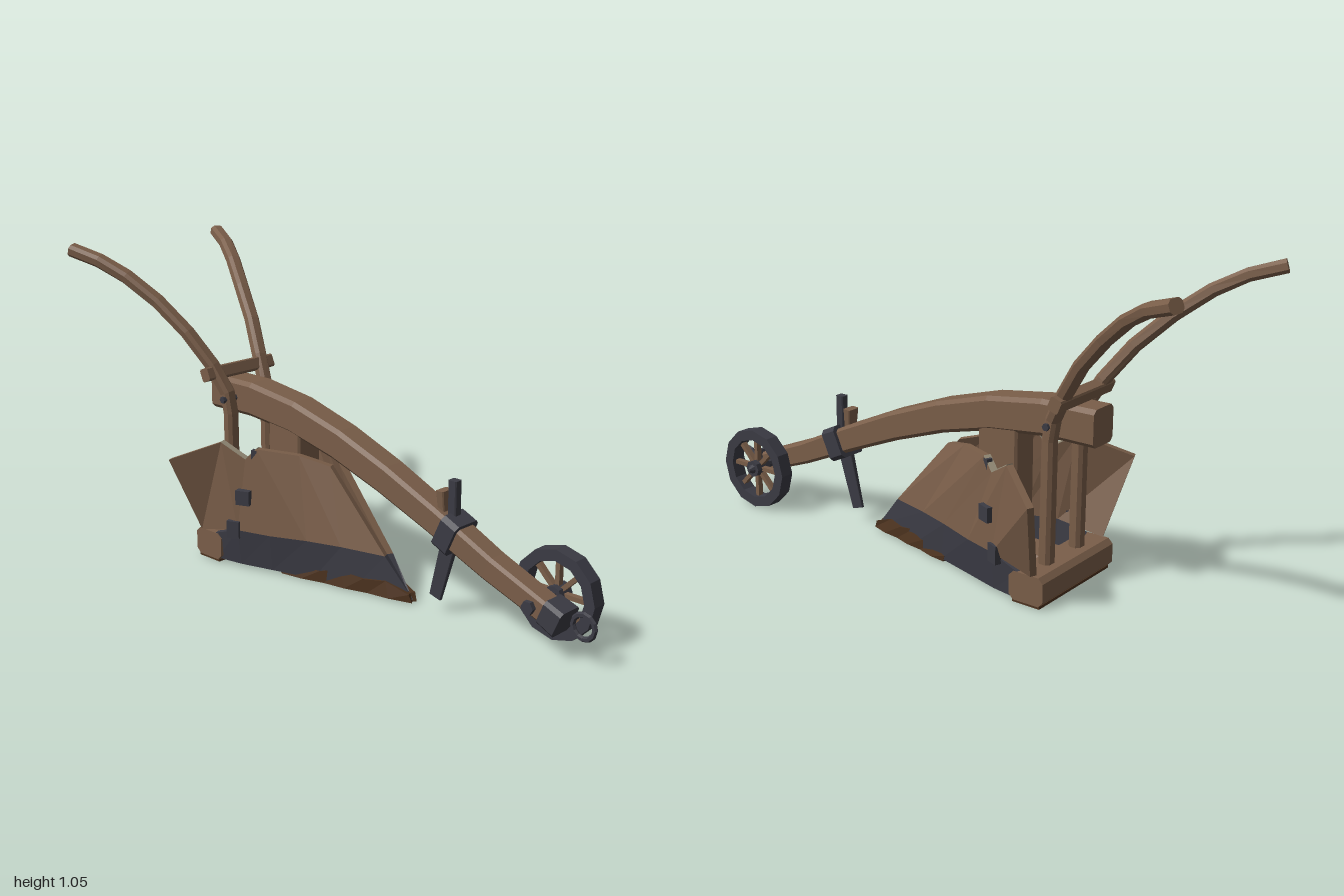
import * as THREE from 'three';

const wood = new THREE.MeshStandardMaterial({ color: 0x7a5e49 });
wood.name = 'oak wood';
const iron = new THREE.MeshStandardMaterial({ color: 0x3b3b44 });
iron.name = 'dark iron';
const soil = new THREE.MeshStandardMaterial({ color: 0x4d331f });
soil.name = 'dark soil';
const pale = new THREE.MeshStandardMaterial({ color: 0x9a917c });
pale.name = 'broken wood';

const V = (p) => new THREE.Vector3(...p);

// Faceted mesh: every face keeps its own normal
function add(parent, name, geometry, material, pos = [0, 0, 0], rot = [0, 0, 0]) {
  const g = geometry.index ? geometry.toNonIndexed() : geometry;
  g.computeVertexNormals();
  const mesh = new THREE.Mesh(g, material);
  mesh.name = name;
  mesh.position.set(...pos);
  mesh.rotation.set(...rot);
  parent.add(mesh);
  return mesh;
}

function fromTriangles(list) {
  const g = new THREE.BufferGeometry();
  g.setAttribute('position', new THREE.Float32BufferAttribute(list.flatMap((p) => p.toArray()), 3));
  return g;
}

// Chamfered rectangular bar swept along a path; each point is [x, y, z, width, height]
function bar(path, chamfer = 0.25) {
  const pts = path.map(V);
  const rings = pts.map((p, i) => {
    const t = pts[Math.min(i + 1, pts.length - 1)].clone().sub(pts[Math.max(i - 1, 0)]).normalize();
    const s = Math.abs(t.x) > 0.9 ? new THREE.Vector3(0, 0, 1) : new THREE.Vector3(1, 0, 0);
    s.addScaledVector(t, -s.dot(t)).normalize();
    const n = t.clone().cross(s);
    const a = path[i][3] / 2, b = path[i][4] / 2, c = Math.min(a, b) * chamfer;
    return [[a, -b + c], [a, b - c], [a - c, b], [-a + c, b], [-a, b - c], [-a, -b + c], [-a + c, -b], [a - c, -b]]
      .map(([u, v]) => p.clone().addScaledVector(s, u).addScaledVector(n, v));
  });
  const tris = [];
  const last = rings[rings.length - 1];
  for (let i = 0; i < rings.length - 1; i++) {
    for (let j = 0; j < 8; j++) {
      const k = (j + 1) % 8, A = rings[i], B = rings[i + 1];
      tris.push(A[j], A[k], B[k], A[j], B[k], B[j]);
    }
  }
  for (let j = 1; j < 7; j++) {
    tris.push(rings[0][0], rings[0][j + 1], rings[0][j], last[0], last[j], last[j + 1]);
  }
  return fromTriangles(tris);
}

// Bent plate between a lower and an upper edge, for the left (+1) or right (-1) side
function plate(lower, upper, side, thickness) {
  const place = (row) => {
    const r = row.map(([x, y, z]) => V([x * side, y, z]));
    return side < 0 ? r.reverse() : r;
  };
  const inward = (row) => row.map((p) => V([side * Math.max(Math.abs(p.x) - thickness, -0.004), p.y, p.z - thickness * 0.4]));
  const a = place(lower), b = place(upper), c = inward(a), d = inward(b);
  const tris = [];
  const quad = (p, q, r, s) => tris.push(p, q, r, p, r, s);
  const n = a.length - 1;
  for (let i = 0; i < n; i++) {
    quad(a[i], a[i + 1], b[i + 1], b[i]);
    quad(c[i + 1], c[i], d[i], d[i + 1]);
    quad(b[i], b[i + 1], d[i + 1], d[i]);
    quad(c[i], c[i + 1], a[i + 1], a[i]);
  }
  quad(c[0], a[0], b[0], d[0]);
  quad(a[n], c[n], d[n], b[n]);
  return fromTriangles(tris);
}

export function createModel() {
  const plough = new THREE.Group();
  plough.name = 'plough';

  // Arched draught beam
  add(plough, 'beam', bar([
    [0, 0.115, 0.88, 0.075, 0.07], [0, 0.215, 0.62, 0.08, 0.08], [0, 0.315, 0.4, 0.088, 0.09],
    [0, 0.4, 0.2, 0.095, 0.098], [0, 0.472, 0, 0.1, 0.105], [0, 0.525, -0.2, 0.107, 0.112],
    [0, 0.55, -0.4, 0.11, 0.118], [0, 0.55, -0.59, 0.11, 0.12]]), wood);

  // Hitch cap and ring at the nose
  add(plough, 'noseCap', bar([[0, 0.14, 0.825, 0.09, 0.085], [0, 0.115, 0.885, 0.095, 0.09]]), iron);
  add(plough, 'hitchRing', new THREE.TorusGeometry(0.038, 0.009, 6, 12), iron, [0, 0.12, 0.948], [0, Math.PI / 2, 0]);

  // Depth wheel on a stub axle
  const wheel = new THREE.Group();
  wheel.name = 'depthWheel';
  wheel.position.set(0.105, 0.145, 0.785);
  wheel.rotation.z = -Math.PI / 2;
  plough.add(wheel);
  const rim = [[0.108, -0.025], [0.145, -0.025], [0.145, 0.025], [0.108, 0.025], [0.108, -0.025]];
  add(wheel, 'rim', new THREE.LatheGeometry(rim.map(([r, y]) => new THREE.Vector2(r, y)), 12), iron);
  add(wheel, 'hub', new THREE.CylinderGeometry(0.03, 0.03, 0.06, 8), iron);
  add(wheel, 'hubCap', new THREE.CylinderGeometry(0.007, 0.018, 0.02, 8), iron, [0, 0.038, 0]);
  for (let i = 0; i < 8; i++) {
    const a = (i * Math.PI) / 4;
    add(wheel, 'spoke', new THREE.BoxGeometry(0.09, 0.02, 0.015), wood,
      [Math.cos(a) * 0.068, 0, -Math.sin(a) * 0.068], [0, a, 0]);
  }
  add(plough, 'axle', new THREE.CylinderGeometry(0.015, 0.015, 0.17, 8), iron, [0.035, 0.145, 0.785], [0, 0, Math.PI / 2]);
  add(plough, 'axleNut', new THREE.CylinderGeometry(0.022, 0.022, 0.018, 6), iron, [-0.045, 0.145, 0.785], [0, 0, Math.PI / 2]);

  // Coulter knife, its clamp and wedge
  add(plough, 'coulterShank', bar([[0, 0.26, 0.465, 0.03, 0.032], [0, 0.45, 0.465, 0.03, 0.032]]), iron);
  add(plough, 'coulterBlade', bar([[0, 0.3, 0.465, 0.022, 0.06], [0, 0.05, 0.398, 0.012, 0.045]]), iron);
  add(plough, 'coulterClamp', bar([[0, 0.27, 0.495, 0.112, 0.115], [0, 0.295, 0.44, 0.112, 0.115]]), iron);
  add(plough, 'coulterWedge', bar([[0, 0.28, 0.43, 0.03, 0.022], [0, 0.41, 0.424, 0.05, 0.03]]), wood);

  // Standard under the beam, sole and heel block
  add(plough, 'standard', bar([[0, 0.06, -0.235, 0.1, 0.15], [0, 0.5, -0.235, 0.1, 0.15]], 0.15), wood);
  add(plough, 'sole', bar([[0, 0.06, -0.14, 0.13, 0.08], [0, 0.06, -0.42, 0.13, 0.08]]), wood);
  add(plough, 'heel', bar([[-0.2, 0.055, -0.457, 0.125, 0.095], [0.2, 0.055, -0.457, 0.125, 0.095]], 0.35), wood);
  add(plough, 'heelSoil', new THREE.BoxGeometry(0.396, 0.009, 0.1), soil, [0, 0.0045, -0.457]);

  // Edges shared by share and mouldboard, from nose to tail
  const bottom = [[0, 0.01, 0.305], [0.06, 0.01, 0.1], [0.097, 0.01, -0.05], [0.14, 0.01, -0.2], [0.175, 0.01, -0.32], [0.192, 0.01, -0.42]];
  const seam = [[0.02, 0.135, 0.2], [0.068, 0.14, 0.05], [0.108, 0.14, -0.07], [0.152, 0.135, -0.2], [0.188, 0.135, -0.32], [0.21, 0.105, -0.48]];
  const shareTop = [...seam.slice(0, 5), [0.2, 0.1, -0.43]];
  const top = [[0.035, 0.39, -0.03], [0.08, 0.415, -0.13], [0.15, 0.425, -0.26], [0.165, 0.385, -0.3], [0.2, 0.435, -0.38], [0.305, 0.365, -0.53]];
  const notch = top.slice(2, 5);

  for (const side of [1, -1]) {
    add(plough, 'share', plate(bottom, shareTop, side, 0.022), iron);
    add(plough, 'mouldboard', plate(seam, top, side, 0.022), wood);
    add(plough, 'notchEdge', plate(notch, notch.map(([x, y, z]) => [x, y + 0.003, z]), side, 0.022), pale);

    // Iron straps fixing the boards
    const yaw = side * -0.38;
    add(plough, 'upperStrap', new THREE.BoxGeometry(0.035, 0.05, 0.05), iron, [side * 0.177, 0.257, -0.295], [0, yaw, 0]);
    add(plough, 'lowerStrap', new THREE.BoxGeometry(0.03, 0.06, 0.045), iron, [side * 0.188, 0.137, -0.335], [0, yaw, 0]);
    add(plough, 'topBolt', new THREE.BoxGeometry(0.02, 0.04, 0.02), iron, [side * 0.145, 0.4, -0.272], [0, yaw, 0]);

    // Soil caked around the share point
    const reach = side > 0 ? 1 : 1.3;
    const crust = [0.03, 0.055, 0.048, 0.06, 0.042, 0.046, 0.026];
    const along = crust.map((h, i) => {
      const k = (i / 6) * reach;
      return { x: 0.012 + 0.088 * k, z: 0.31 - 0.37 * k, h };
    });
    add(plough, 'cakedSoil', plate(
      along.map(({ x, z }, i) => [x + (i % 2) * 0.006, 0.003, z]),
      along.map(({ x, z, h }, i) => [x + 0.004 - (i % 2) * 0.006, h, z - h * 0.35]), side, 0.025), soil);

    // Handle: upright leg from the heel, then a swept-back grip
    const path = [[0.085, 0.07, -0.455], [0.085, 0.5, -0.457], [0.087, 0.57, -0.47], [0.108, 0.66, -0.52],
      [0.148, 0.77, -0.6], [0.192, 0.87, -0.7], [0.243, 0.95, -0.8], [0.288, 1.0, -0.89], [0.33, 1.032, -0.99]];
    add(plough, 'handle', bar(path.map(([x, y, z]) => [side * x, y, z, 0.048, 0.042]), 0.5), wood);
    add(plough, 'handleBolt', new THREE.CylinderGeometry(0.012, 0.012, 0.06, 6), iron,
      [side * 0.09, 0.55, -0.462], [0, 0, Math.PI / 2]);
  }

  // Crossbar tying the handles
  const crossbar = add(plough, 'crossbar', bar([[-0.15, 0, 0, 0.04, 0.045], [0.15, 0, 0, 0.04, 0.045]]), wood, [0, 0.635, -0.512]);
  crossbar.rotation.x = -0.4;

  return plough;
}
